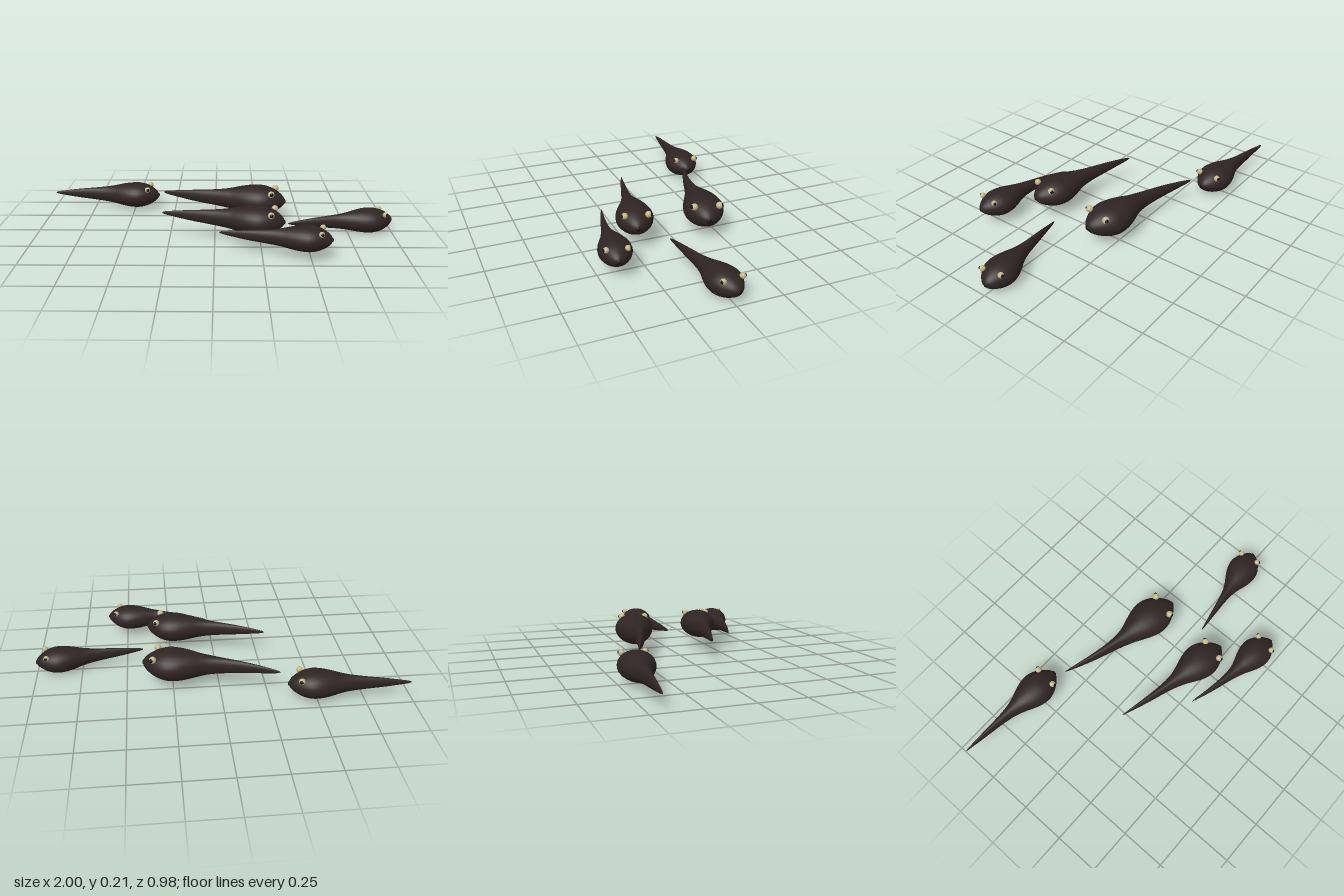
import * as THREE from 'three';

const skin = new THREE.MeshStandardMaterial({ color: 0x2f2423 });
skin.name = 'dark brown skin';
const gold = new THREE.MeshStandardMaterial({ color: 0xc4b884 });
gold.name = 'pale gold eye';
const black = new THREE.MeshStandardMaterial({ color: 0x0b0909 });
black.name = 'black pupil';
const lip = new THREE.MeshStandardMaterial({ color: 0x1a1313 });
lip.name = 'dark mouth';

// body profile for unit length: distance from nose, half width, half height
const profile = new THREE.CatmullRomCurve3([
  [0, 0, 0], [0.006, 0.025, 0.022], [0.025, 0.054, 0.046], [0.06, 0.087, 0.072],
  [0.12, 0.126, 0.1], [0.19, 0.146, 0.114], [0.27, 0.138, 0.112], [0.35, 0.11, 0.1],
  [0.42, 0.079, 0.085], [0.5, 0.053, 0.072], [0.6, 0.036, 0.06], [0.75, 0.023, 0.044],
  [0.9, 0.011, 0.024], [0.98, 0.004, 0.01], [1, 0, 0],
].map((p) => new THREE.Vector3(...p)));

const CENTRE = 0.2; // distance from the nose to the widest section

// closed body and tail, facing +x, with the tail bowed sideways by sway
function bodyGeometry(sway) {
  const rings = 56, sides = 28, pos = [], index = [];
  for (let i = 0; i <= rings; i++) {
    const p = profile.getPoint(i / rings);
    const v = Math.max(0, (p.x - CENTRE) / (1 - CENTRE));
    const bow = sway * Math.sin(Math.PI * v) * Math.min(1, v * 3);
    for (let j = 0; j < sides; j++) {
      const a = (j / sides) * Math.PI * 2;
      pos.push(CENTRE - p.x, p.z * Math.sin(a), p.y * Math.cos(a) + bow);
      if (i < rings) {
        const k = (j + 1) % sides, r = i * sides, s = r + sides;
        index.push(r + j, r + k, s + j, r + k, s + k, s + j);
      }
    }
  }
  const g = new THREE.BufferGeometry();
  g.setAttribute('position', new THREE.Float32BufferAttribute(pos, 3));
  g.setIndex(index);
  g.computeVertexNormals();
  return g;
}

function ball(name, radius, material, position, parent) {
  const m = new THREE.Mesh(new THREE.SphereGeometry(radius, 16, 12), material);
  m.name = name;
  m.position.copy(position);
  parent.add(m);
  return m;
}

function tadpole(sway) {
  const g = new THREE.Group();
  const body = new THREE.Mesh(bodyGeometry(sway), skin);
  body.name = 'bodyAndTail';
  g.add(body);

  // small round mouth on the tip of the nose
  const mouth = ball('mouth', 0.018, lip, new THREE.Vector3(CENTRE - 0.003, 0, 0), g);
  mouth.scale.x = 0.5;

  // raised eyes with pupils looking outwards
  for (const side of [-1, 1]) {
    const label = side < 0 ? 'left' : 'right';
    const at = new THREE.Vector3(CENTRE - 0.093, 0.075, side * 0.091);
    const look = new THREE.Vector3(0.35, 0.2, side).normalize();
    ball(label + 'Eye', 0.026, gold, at, g);
    ball(label + 'Pupil', 0.016, black, at.clone().addScaledVector(look, 0.0145), g);
  }
  return g;
}

export function createModel() {
  const group = new THREE.Group();
  group.name = 'tadpoleShoal';
  // x, y, z of the body centre, length, heading in degrees, tail sway
  const shoal = [
    [-0.48, 0.087, -0.4, 0.652, 4.4, 0],
    [0.262, 0.125, -0.193, 0.745, 14, 0.03],
    [0.88, 0.07, 0.003, 0.6, -8, 0],
    [0.24, 0.137, 0.2, 0.685, 12.8, 0.015],
    [0.488, 0.11, 0.398, 0.592, 10.5, 0.025],
  ];
  shoal.forEach(([x, y, z, length, heading, sway], i) => {
    const t = tadpole(sway);
    t.name = 'tadpole' + (i + 1);
    t.position.set(x, y, z);
    t.scale.setScalar(length);
    t.rotation.y = -THREE.MathUtils.degToRad(heading);
    group.add(t);
  });
  return group;
}
